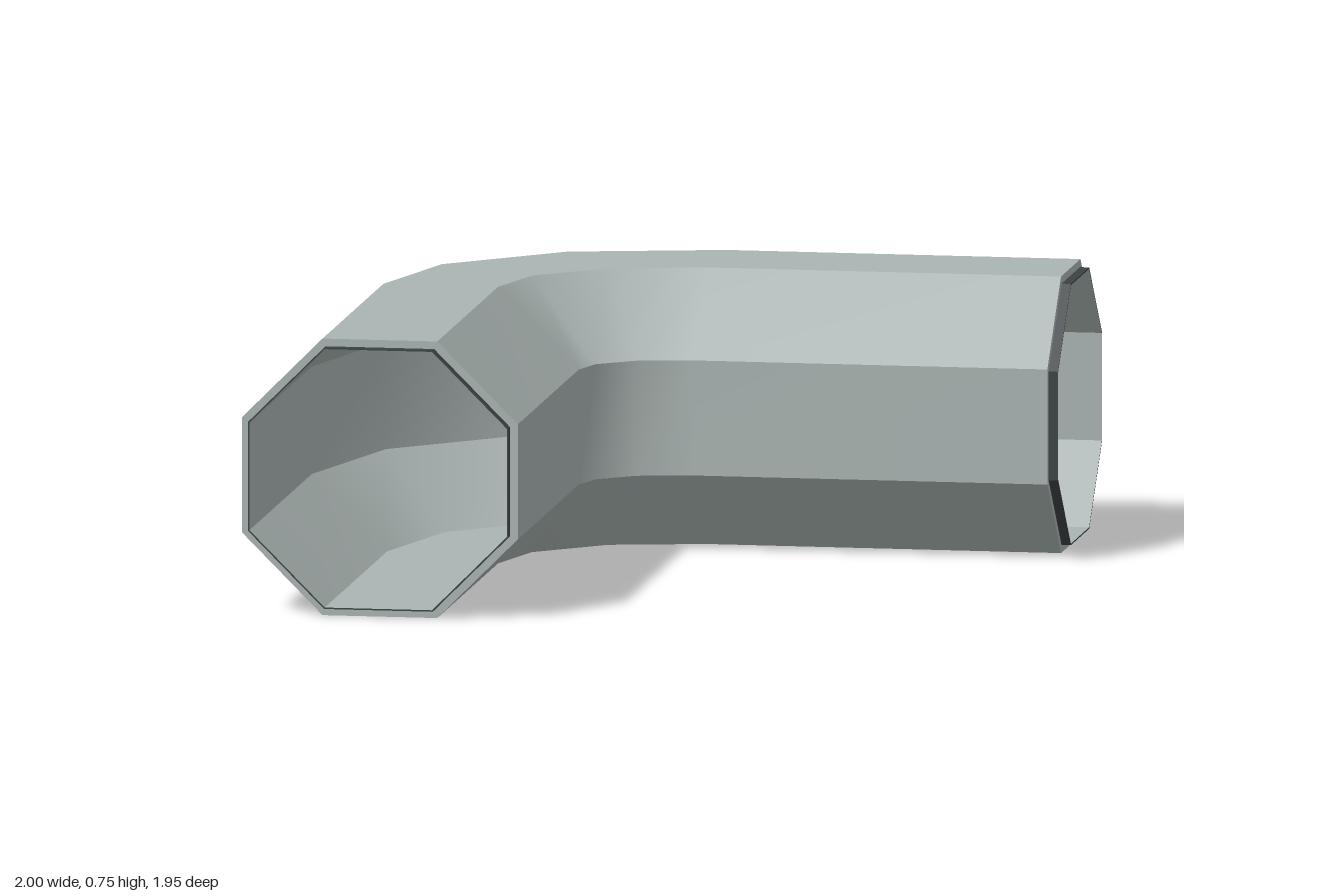
import * as THREE from 'three';
import { mergeGeometries } from 'three/addons/utils/BufferGeometryUtils.js';

const R = 0.3725;      // half width of the octagonal section
const FLAT = 0.155;    // half length of the flat sides
const BORE = 0.348, COLLAR = 0.352;

// Stations along the pipe: [outside x, z, inside x, z]
const startTip = [-1, 0.975, -0.255, 0.975];
const start = [-1, 0.95, -0.255, 0.95];
const bend = [
  [-1, -0.02, -0.255, -0.02],
  [-0.876, -0.494, -0.227, -0.12],
  [-0.502, -0.847, -0.129, -0.2],
  [0.02, -0.975, 0.02, -0.23],
];
const end = [0.975, -0.975, 0.975, -0.23];
const endTip = [1, -0.975, 1, -0.23];

// Octagon at a station, scaled to the given half width
function ring([ox, oz, ix, iz], size) {
  const s = size / R, c = FLAT;
  return [[R, -c], [R, c], [c, R], [-c, R], [-R, c], [-R, -c], [-c, -R], [c, -R]].map(([u, v]) => {
    const t = 0.5 + (u * s) / (2 * R);
    return [ox + (ix - ox) * t, R + v * s, oz + (iz - oz) * t];
  });
}

// Eight strips through the rings: smooth along the pipe, sharp between sides
function loft(rings) {
  const strips = [];
  for (let k = 0; k < 8; k++) {
    const pos = [], index = [];
    rings.forEach((r, i) => {
      pos.push(...r[k], ...r[(k + 1) % 8]);
      if (i > 0) {
        const a = 2 * (i - 1);
        index.push(a, a + 2, a + 3, a, a + 3, a + 1);
      }
    });
    const g = new THREE.BufferGeometry();
    g.setAttribute('position', new THREE.Float32BufferAttribute(pos, 3));
    g.setIndex(index);
    g.computeVertexNormals();
    strips.push(g);
  }
  return mergeGeometries(strips);
}

export function createModel() {
  const model = new THREE.Group();
  model.name = 'pipeElbow';
  const grey = new THREE.MeshStandardMaterial({ color: 0xaab4b2 });
  grey.name = 'pipeGrey';
  const dark = new THREE.MeshStandardMaterial({ color: 0x3c4244 });
  dark.name = 'collarDark';

  const add = (name, material, ...rings) => {
    const mesh = new THREE.Mesh(loft(rings), material);
    mesh.name = name;
    model.add(mesh);
  };

  // Outer wall and bore
  add('outerWall', grey, ...[start, ...bend, end].map((s) => ring(s, R)));
  add('innerWall', grey, ...[startTip, start, ...bend, end, endTip].reverse().map((s) => ring(s, BORE)));

  // Flat rims at both mouths
  add('frontRim', grey, ring(start, COLLAR), ring(start, R));
  add('sideRim', grey, ring(end, R), ring(end, COLLAR));

  // Dark collars that stand out from the rims
  add('frontCollar', dark, ring(startTip, COLLAR), ring(start, COLLAR));
  add('frontCollarLip', dark, ring(startTip, BORE), ring(startTip, COLLAR));
  add('sideCollar', dark, ring(end, COLLAR), ring(endTip, COLLAR));
  add('sideCollarLip', dark, ring(endTip, COLLAR), ring(endTip, BORE));

  return model;
}
